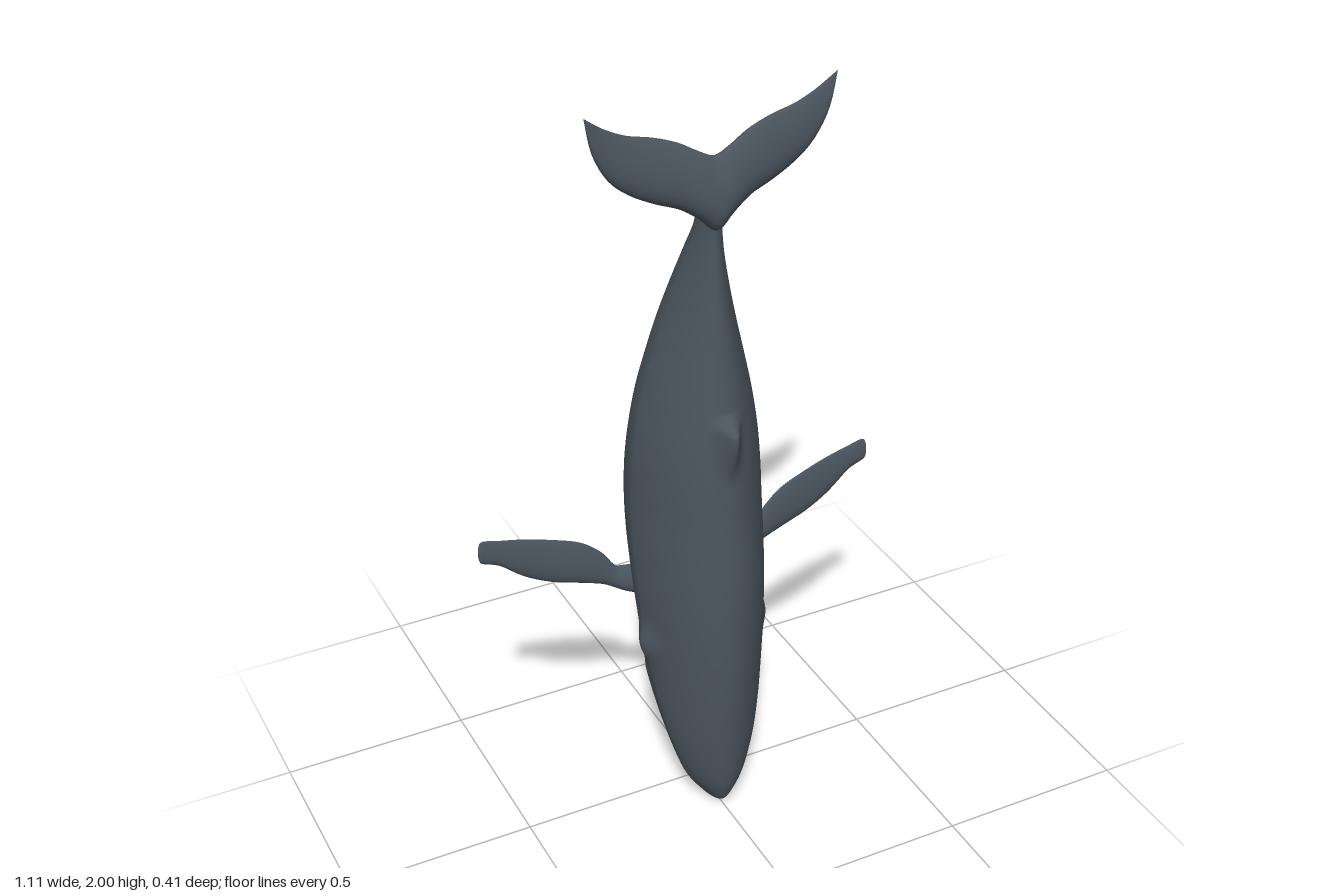
import * as THREE from 'three';

const skin = new THREE.MeshStandardMaterial({ color: 0x4a555e });
skin.name = 'slateSkin';

const { smoothstep } = THREE.MathUtils;
const bell = (v, width) => Math.exp(-((v / width) ** 2));

// Smooth Catmull-Rom resampling of a table of stations
function resample(rows, steps) {
  const out = [];
  const at = i => rows[Math.min(Math.max(i, 0), rows.length - 1)];
  for (let i = 0; i < rows.length - 1; i++) {
    for (let k = 0; k < steps; k++) {
      const t = k / steps;
      out.push(rows[i].map((b, c) => {
        const a = at(i - 1)[c], d = at(i + 1)[c], e = at(i + 2)[c];
        return b + 0.5 * t * (d - a + t * (2 * a - 5 * b + 4 * d - e + t * (3 * (b - d) + e - a)));
      }));
    }
  }
  out.push(rows[rows.length - 1]);
  return out;
}

// Skin a list of stations; section(row, angle) returns one point
function loft(name, rows, sides, section) {
  const pos = [], index = [];
  rows.forEach((row, i) => {
    for (let j = 0; j < sides; j++) {
      pos.push(...section(row, (j / sides) * Math.PI * 2));
      if (i === rows.length - 1) continue;
      const a = i * sides + j, b = i * sides + (j + 1) % sides;
      index.push(a, a + sides, b, b, a + sides, b + sides);
    }
  });
  const geo = new THREE.BufferGeometry();
  geo.setAttribute('position', new THREE.Float32BufferAttribute(pos, 3));
  geo.setIndex(index);
  geo.computeVertexNormals();
  const mesh = new THREE.Mesh(geo, skin);
  mesh.name = name;
  return mesh;
}

// Body stations: y, dorsal z, belly z, half width
const BODY = [
  [0, 0.11, 0.11, 0], [0.012, 0.14, 0.08, 0.022], [0.04, 0.16, 0.052, 0.046],
  [0.1, 0.178, 0.042, 0.08], [0.2, 0.188, 0.004, 0.115], [0.3, 0.196, -0.046, 0.138],
  [0.4, 0.202, -0.09, 0.153], [0.5, 0.205, -0.12, 0.163], [0.6, 0.205, -0.145, 0.171],
  [0.7, 0.202, -0.168, 0.176], [0.8, 0.195, -0.19, 0.178], [0.9, 0.186, -0.202, 0.177],
  [1.0, 0.179, -0.2, 0.173], [1.1, 0.168, -0.186, 0.163], [1.2, 0.152, -0.168, 0.146],
  [1.3, 0.135, -0.143, 0.122], [1.4, 0.118, -0.113, 0.096], [1.5, 0.104, -0.073, 0.07],
  [1.6, 0.094, -0.026, 0.046], [1.68, 0.09, 0.018, 0.034], [1.77, 0.105, 0.045, 0.034],
  [1.83, 0.09, 0.065, 0.02], [1.85, 0.076, 0.076, 0],
];

// Jaw line depth, from the snout back to the eye
const jawZ = y => 0.095 - 0.1 * smoothstep(y, 0.02, 0.42);

function bodyPoint([y, zf, zb, w], t) {
  const c = Math.cos(t), s = Math.sin(t);
  const mid = zb + 0.45 * (zf - zb);
  // shallow throat pleats on the belly
  const zone = smoothstep(y, 0.2, 0.4) * (1 - smoothstep(y, 0.85, 1.1));
  const pleat = 1 - 0.01 * zone * Math.max(0, -s) * (1 + Math.cos(t * 24));
  // the back narrows to a ridge
  const x = w * c * pleat * (1 - 0.22 * Math.max(0, s));
  const z = mid + (s > 0 ? zf - mid : mid - zb) * s * pleat;
  // swollen brow and lip, blended into the flanks
  const brow = 0.017 * bell(y - 0.51, 0.045) * bell(z - 0.03, 0.04);
  const lip = 0.008 * smoothstep(y, 0.03, 0.12) * (1 - smoothstep(y, 0.4, 0.48)) * bell(z - jawZ(y), 0.016);
  // hooked dorsal fin rising gently and dropping sharply towards the tail
  const fin = s > 0
    ? 0.048 * smoothstep(y, 1.02, 1.18) * (1 - smoothstep(y, 1.18, 1.21)) * bell(x, 0.026)
    : 0;
  return [x + c * (brow + lip), y, z + fin];
}

// Blade section: row is x, lower y, upper y, centre z, half thickness
const blade = side => ([x, lo, hi, z, h], t) => [
  side * x,
  (lo + hi) / 2 + (hi - lo) / 2 * Math.cos(t),
  z - side * h * Math.sin(t) * (1 - 0.4 * Math.cos(t)),
];

const FLIPPER = [
  [0.13, 0.595, 0.69, -0.075, 0.024], [0.175, 0.615, 0.692, -0.08, 0.02],
  [0.2, 0.63, 0.7, -0.083, 0.016], [0.235, 0.65, 0.748, -0.085, 0.014],
  [0.29, 0.667, 0.79, -0.091, 0.015], [0.37, 0.69, 0.817, -0.1, 0.015],
  [0.44, 0.725, 0.835, -0.107, 0.013], [0.5, 0.772, 0.846, -0.112, 0.011],
  [0.54, 0.789, 0.856, -0.112, 0.009], [0.552, 0.8, 0.848, -0.11, 0.006],
  [0.555, 0.825, 0.825, -0.109, 0],
];

const FLUKE = [
  [0, 1.67, 1.855, 0.08, 0.038], [0.04, 1.705, 1.872, 0.079, 0.035],
  [0.09, 1.738, 1.9, 0.073, 0.031], [0.15, 1.762, 1.922, 0.069, 0.027],
  [0.21, 1.795, 1.937, 0.068, 0.021], [0.26, 1.84, 1.96, 0.069, 0.015],
  [0.297, 1.91, 1.985, 0.072, 0.008], [0.316, 2, 2, 0.075, 0],
];

export function createModel() {
  const model = new THREE.Group();
  model.name = 'whale';

  model.add(loft('body', resample(BODY, 10), 144, bodyPoint));

  // Tail fluke, lofted from tip to tip
  const mirrored = FLUKE.slice(1).reverse().map(([x, ...r]) => [-x, ...r]);
  model.add(loft('tailFluke', resample([...mirrored, ...FLUKE], 4), 24, blade(1)));

  for (const [label, side] of [['left', 1], ['right', -1]]) {
    model.add(loft(label + 'Flipper', resample(FLIPPER, 4), 24, blade(side)));
  }
  return model;
}
